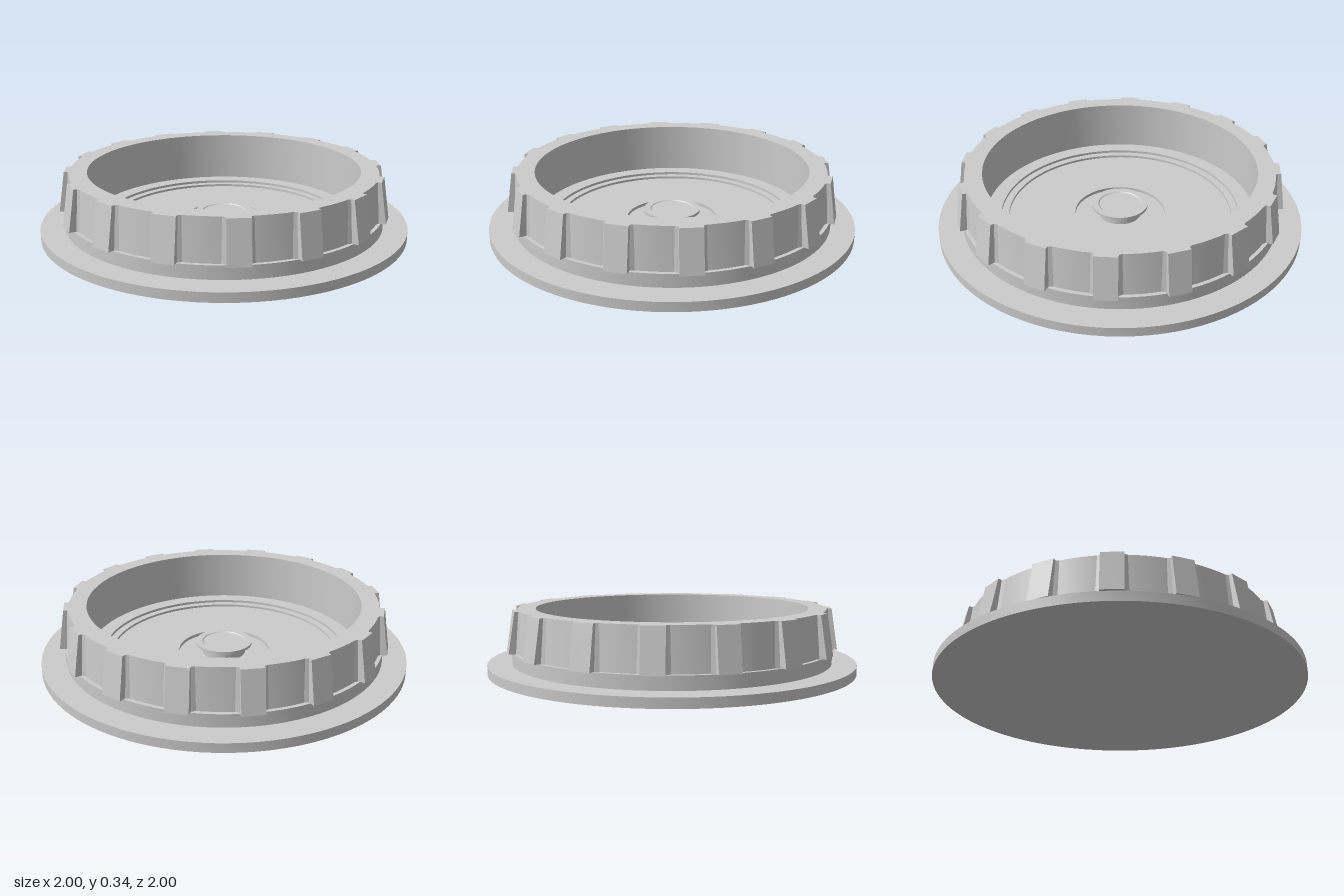
import * as THREE from 'three';
import { toCreasedNormals } from 'three/addons/utils/BufferGeometryUtils.js';

const RIBS = 16;
const material = new THREE.MeshStandardMaterial({ color: 0xcccccc });

function turned(name, profile) {
  const points = profile.map(([r, y]) => new THREE.Vector2(r, y));
  const geometry = toCreasedNormals(new THREE.LatheGeometry(points, 96), 0.4);
  const mesh = new THREE.Mesh(geometry, material);
  mesh.name = name;
  return mesh;
}

// One grip rib with flared roots, leaning inward towards the top
function ribGeometry(bottom, top) {
  const shape = new THREE.Shape([
    [-0.085, 0.80], [0.085, 0.80], [0.085, 0.842], [0.057, 0.858],
    [0.057, 0.895], [-0.057, 0.895], [-0.057, 0.858], [-0.085, 0.842],
  ].map(([x, r]) => new THREE.Vector2(x, r)));
  const geometry = new THREE.ExtrudeGeometry(shape, { depth: top - bottom, bevelEnabled: false });
  const p = geometry.attributes.position;
  for (let i = 0; i < p.count; i++) {
    const t = p.getZ(i) / (top - bottom);
    const r = p.getY(i);
    p.setY(i, r - t * (r > 0.87 ? 0.035 : 0.018));
  }
  geometry.rotateX(-Math.PI / 2);
  geometry.translate(0, bottom, 0);
  geometry.computeVertexNormals();
  return geometry;
}

export function createModel() {
  const model = new THREE.Group();
  model.name = 'ribbedCap';

  // Flange, collar, tapered wall, inner lip and stepped floor in one profile
  model.add(turned('capBody', [
    [0, 0], [1, 0], [1, 0.05],
    [0.87, 0.05], [0.87, 0.12],
    [0.85, 0.12], [0.835, 0.34],
    [0.74, 0.34], [0.74, 0.325], [0.745, 0.325], [0.745, 0.062],
    [0.66, 0.062], [0.66, 0.048], [0.62, 0.048], [0.62, 0.035],
    [0.25, 0.035], [0.25, 0.018], [0, 0.018],
  ]));

  // Centre boss with a wider rim and a shallow dimple
  model.add(turned('centreBoss', [
    [0.117, 0.018], [0.117, 0.055], [0.155, 0.07], [0.155, 0.085],
    [0.12, 0.085], [0.115, 0.08], [0, 0.08],
  ]));

  // Ring of grip ribs
  const ribs = new THREE.Group();
  ribs.name = 'gripRibs';
  const geometry = ribGeometry(0.12, 0.34);
  for (let i = 0; i < RIBS; i++) {
    const rib = new THREE.Mesh(geometry, material);
    rib.name = 'gripRib';
    rib.rotation.y = -0.068 - (i / RIBS) * Math.PI * 2;
    ribs.add(rib);
  }
  model.add(ribs);

  return model;
}
